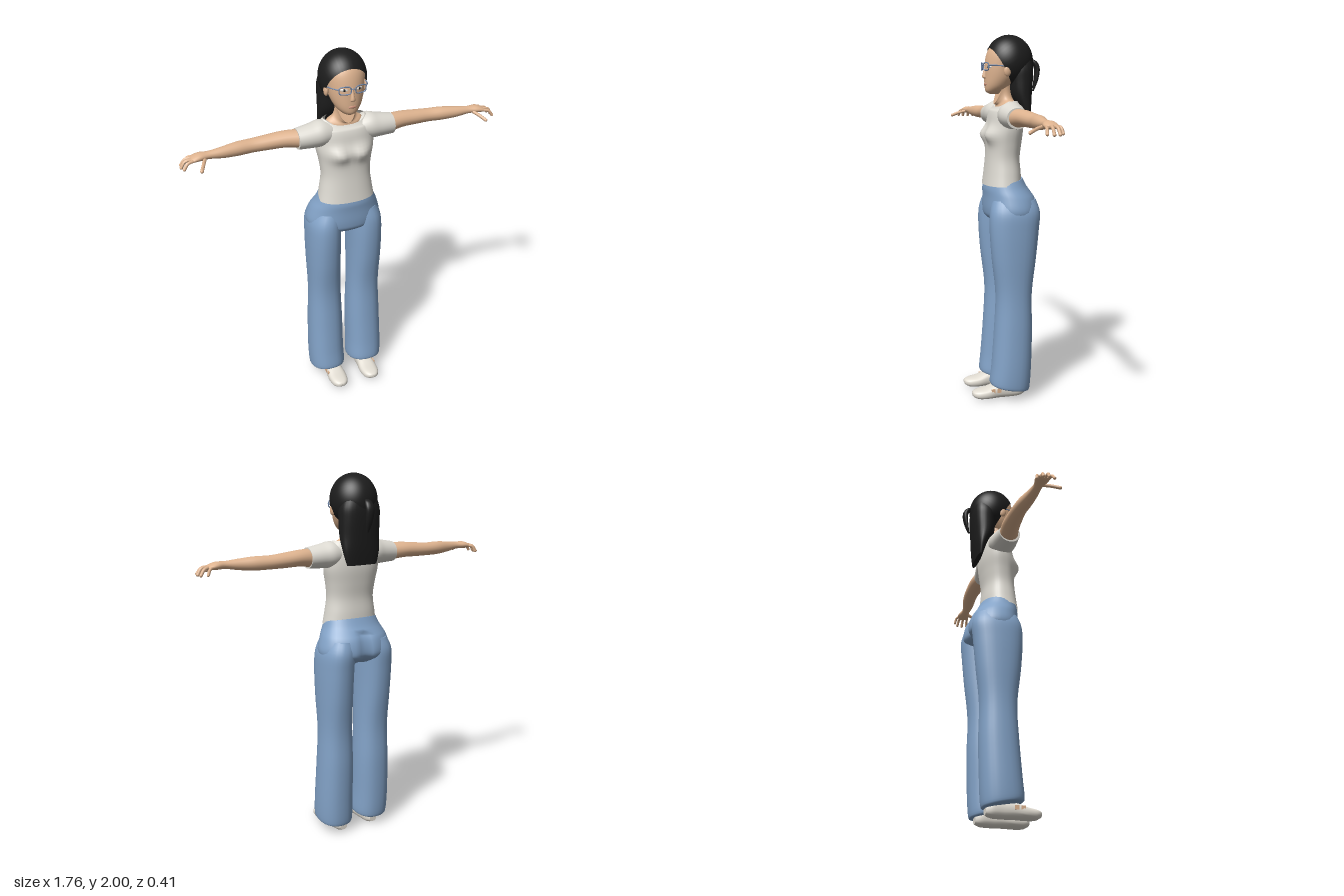
import * as THREE from 'three';

const paint = (name, color) => {
  const m = new THREE.MeshStandardMaterial({ color });
  m.name = name;
  return m;
};

// Skin a run of oval sections [t, centreU, centreV, radiusU, radiusV].
// axis 0/1/2 = x/y/z, (u, v) are the next two axes in cyclic order.
function loft(axis, sections, { sides = 28, steps = 5, power = 2, caps = true, rule = null } = {}) {
  const u = (axis + 1) % 3, v = (axis + 2) % 3;
  const rows = [];
  const last = sections.length - 1;
  for (let i = 0; i < last; i++) {
    const [a, b, c, d] = [i - 1, i, i + 1, i + 2].map(k => sections[Math.min(last, Math.max(0, k))]);
    for (let s = 0; s < steps + (i === last - 1 ? 1 : 0); s++) {
      const f = s / steps;
      rows.push(b.map((p1, k) => 0.5 * (2 * p1 + (c[k] - a[k]) * f
        + (2 * a[k] - 5 * p1 + 4 * c[k] - d[k]) * f * f
        + (3 * p1 - a[k] - 3 * c[k] + d[k]) * f * f * f)));
    }
  }
  const pos = [], idx = [];
  const bend = w => Math.sign(w) * Math.abs(w) ** (2 / power);
  const put = (t, pu, pv) => {
    const p = [0, 0, 0];
    p[axis] = t; p[u] = pu; p[v] = pv;
    const q = new THREE.Vector3(...p);
    if (rule) rule(q);
    pos.push(q.x, q.y, q.z);
    return pos.length / 3 - 1;
  };
  const ring = r => {
    const start = pos.length / 3;
    for (let j = 0; j < sides; j++) {
      const a = j / sides * Math.PI * 2;
      put(r[0], r[1] + r[3] * bend(Math.cos(a)), r[2] + r[4] * bend(Math.sin(a)));
    }
    return start;
  };
  rows.forEach(ring);
  for (let i = 0; i < rows.length - 1; i++) {
    for (let j = 0; j < sides; j++) {
      const a = i * sides + j, b = i * sides + (j + 1) % sides;
      idx.push(a, b, a + sides, b, b + sides, a + sides);
    }
  }
  if (caps) {
    [rows[0], rows[rows.length - 1]].forEach((r, end) => {
      const s = ring(r), mid = put(r[0], r[1], r[2]);
      for (let j = 0; j < sides; j++) {
        const a = s + j, b = s + (j + 1) % sides;
        idx.push(mid, end ? a : b, end ? b : a);
      }
    });
  }
  const g = new THREE.BufferGeometry();
  g.setAttribute('position', new THREE.Float32BufferAttribute(pos, 3));
  g.setIndex(idx);
  g.computeVertexNormals();
  return g;
}

// Mirror a geometry in x, keeping its faces outward
function mirrored(geo) {
  const g = geo.clone().scale(-1, 1, 1);
  const ix = g.index.array;
  for (let i = 0; i < ix.length; i += 3) [ix[i], ix[i + 1]] = [ix[i + 1], ix[i]];
  g.computeVertexNormals();
  return g;
}

const blob = (x, y, z, rx, ry, rz, turn = 0) =>
  new THREE.SphereGeometry(1, 20, 14).scale(rx, ry, rz).rotateY(turn).translate(x, y, z);

const tube = (points, r, closed = false, n = 16) => new THREE.TubeGeometry(
  new THREE.CatmullRomCurve3(points.map(p => new THREE.Vector3(...p)), closed), n, r, 8, closed);

export function createModel() {
  const skin = paint('skin', 0xdfb490);
  const hair = paint('black hair', 0x1d1d1d);
  const shirt = paint('off-white shirt', 0xdddad2);
  const denim = paint('blue denim', 0x83a3c8);
  const shoe = paint('cream shoe', 0xe2ddd3);
  const frame = paint('glasses blue', 0x7088ad);
  const lip = paint('lips', 0xc98f78);
  const white = paint('eye white', 0xe8e4de);
  shirt.side = hair.side = THREE.DoubleSide;

  const model = new THREE.Group();
  model.name = 'woman';
  const add = (name, geo, mat) => {
    const m = new THREE.Mesh(geo, mat);
    m.name = name;
    model.add(m);
  };
  const addPair = (name, geo, mat) => {
    add('left' + name, geo, mat);
    add('right' + name, mirrored(geo), mat);
  };

  // Shirt body: bust swell and scooped neckline
  const scoop = p => {
    if (p.y > 1.6) p.y -= Math.max(0, p.z) * 0.8 * (p.y - 1.6) / 0.05;
  };
  add('shirtBody', loft(1, [
    [1.195, .008, 0, .1, .157], [1.26, .005, 0, .095, .146], [1.34, .004, 0, .088, .136],
    [1.42, -.002, 0, .09, .145], [1.5, -.01, 0, .09, .16], [1.57, -.012, 0, .085, .16],
    [1.62, -.015, 0, .07, .145], [1.65, -.015, 0, .055, .115],
  ], {
    sides: 40, power: 2.3, caps: false,
    rule: p => {
      if (p.z > 0) {
        p.z += 0.036 * Math.exp(-(((Math.abs(p.x) - .06) / .06) ** 2) - ((p.y - 1.47) / .042) ** 2);
      }
      scoop(p);
    },
  }), shirt);
  addPair('Sleeve', loft(0, [
    [.06, 1.575, -.012, .05, .06], [.13, 1.577, -.01, .07, .075],
    [.19, 1.572, -.006, .064, .07], [.268, 1.567, -.004, .055, .06],
  ]), shirt);

  // Trousers: hips with a slanted waist, then flared legs
  add('trouserHips', loft(1, [
    [.985, -.035, 0, .08, .08], [1.02, -.037, 0, .13, .185], [1.06, -.038, 0, .142, .21],
    [1.13, -.03, 0, .135, .192], [1.18, -.008, 0, .115, .167], [1.217, .002, 0, .102, .152],
  ], {
    sides: 40, power: 2.2,
    rule: p => {
      if (p.z < -.05 && p.y < 1.16) p.z += .025 * Math.exp(-((p.x / .03) ** 2));
      if (p.y > 1.15) p.y -= p.z * .18 * (p.y - 1.15) / .067;
    },
  }), denim);
  addPair('TrouserLeg', loft(1, [
    [.065, -.005, .117, .1, .09], [.085, -.006, .117, .111, .1], [.2, -.015, .12, .11, .1],
    [.4, -.025, .118, .105, .097], [.6, -.028, .118, .1, .09], [.8, -.028, .122, .122, .091],
    [.95, -.03, .122, .135, .092], [1.05, -.035, .118, .138, .09], [1.12, -.035, .1, .12, .08],
  ], {
    power: 2.3,
    rule: p => { if (p.y < .2) p.y += p.z * .28 * (1 - p.y / .2); },
  }), denim);

  // Shoes with small side cut-outs
  addPair('Shoe', loft(2, [
    [-.092, .1, .035, .022, .022], [-.06, .1, .042, .04, .04], [0, .1, .044, .043, .044],
    [.06, .1, .044, .047, .042], [.12, .1, .034, .053, .032], [.17, .1, .031, .046, .026],
    [.197, .1, .033, .028, .016], [.205, .1, .034, .01, .006],
  ], { sides: 24, power: 2.5 }), shoe);
  for (const z of [.062, .095]) {
    addPair('ShoeOpening', new THREE.BoxGeometry(.008, .022, .022).translate(.146, .053, z), skin);
  }

  // Arms and hands
  addPair('Arm', loft(0, [
    [.24, 1.567, -.003, .05, .054], [.33, 1.572, -.018, .043, .05], [.42, 1.568, -.024, .039, .045],
    [.5, 1.565, -.025, .036, .04], [.58, 1.565, -.016, .036, .038], [.66, 1.565, -.004, .029, .03],
    [.73, 1.567, .002, .02, .024], [.78, 1.567, .003, .02, .035], [.815, 1.562, .004, .014, .036],
    [.826, 1.56, .004, .006, .028],
  ], { sides: 20 }), skin);
  const fingers = [
    // base, knuckle, tip, radius
    [[.805, 1.562, -.025], [.828, 1.557, -.036], [.842, 1.53, -.042], .0075],
    [[.81, 1.562, -.006], [.848, 1.557, -.014], [.87, 1.528, -.018], .0085],
    [[.81, 1.562, .013], [.853, 1.558, .013], [.874, 1.528, .012], .0085],
    [[.808, 1.562, .031], [.845, 1.556, .038], [.866, 1.53, .043], .008],
    [[.755, 1.56, .022], [.775, 1.548, .065], [.793, 1.533, .1], .009],
  ];
  for (const [a, b, c, r] of fingers) {
    addPair('Finger', tube([a, b, c], r, false, 8), skin);
    addPair('Fingertip', blob(...c, r, r, r), skin);
  }

  // Neck and head
  add('neck', loft(1, [
    [1.55, -.015, 0, .05, .1], [1.63, -.015, 0, .052, .102], [1.66, -.01, 0, .046, .066],
    [1.7, -.003, 0, .047, .054], [1.76, 0, 0, .05, .055],
  ], { rule: scoop }), skin);
  add('head', loft(1, [
    [1.686, .045, 0, .028, .02], [1.70, .04, 0, .054, .042], [1.73, .03, 0, .07, .068],
    [1.78, .01, 0, .091, .09], [1.84, 0, 0, .099, .1], [1.9, -.012, 0, .099, .104],
    [1.94, -.03, 0, .095, .088], [1.97, -.035, 0, .06, .05],
  ], { sides: 36 }), skin);
  add('nose', loft(1, [
    [1.768, .098, 0, .006, .008], [1.774, .1, 0, .013, .014], [1.788, .1, 0, .014, .012],
    [1.82, .095, 0, .01, .008], [1.85, .09, 0, .007, .006],
  ], { sides: 14 }), skin);
  add('lips', blob(0, 1.738, .097, .022, .008, .007), lip);
  addPair('Ear', blob(.106, 1.81, .004, .012, .03, .02), skin);
  addPair('Eye', blob(.041, 1.83, .087, .021, .009, .006, .4), white);
  addPair('Iris', blob(.041, 1.83, .091, .007, .008, .004, .4), hair);

  // Glasses
  const rim = [];
  for (let i = 0; i < 16; i++) {
    const a = i / 16 * Math.PI * 2, c = Math.cos(a), s = Math.sin(a);
    const x = .043 + .031 * Math.sign(c) * Math.abs(c) ** .6;
    rim.push([x, 1.832 + .02 * Math.sign(s) * Math.abs(s) ** .6, .113 - x * .2]);
  }
  addPair('GlassesRim', tube(rim, .003, true, 48), frame);
  add('glassesBridge', tube([[-.013, 1.836, .11], [0, 1.84, .113], [.013, 1.836, .11]], .003), frame);
  addPair('GlassesTemple', tube([[.074, 1.838, .098], [.097, 1.838, .06], [.11, 1.832, 0]], .003), frame);

  // Hair: cap open towards the face, long fall down the back, thin tail
  add('hairCap', new THREE.SphereGeometry(1, 40, 28, 0, Math.PI * 2, 0, 2.08)
    .rotateX(-1.035).scale(.126, .14, .13).translate(0, 1.86, -.035), hair);
  add('hairFall', loft(1, [
    [1.525, -.118, 0, .014, .092], [1.6, -.11, 0, .033, .11], [1.68, -.092, 0, .059, .115],
    [1.76, -.09, 0, .068, .117], [1.82, -.088, 0, .072, .116], [1.87, -.085, 0, .07, .1],
  ], { power: 2.4 }), hair);
  add('hairTail', loft(1, [
    [1.70, -.172, 0, .004, .007], [1.76, -.188, 0, .012, .02], [1.82, -.194, 0, .015, .025],
    [1.855, -.178, 0, .017, .021], [1.87, -.165, 0, .008, .01],
  ], { sides: 14 }), hair);

  return model;
}
